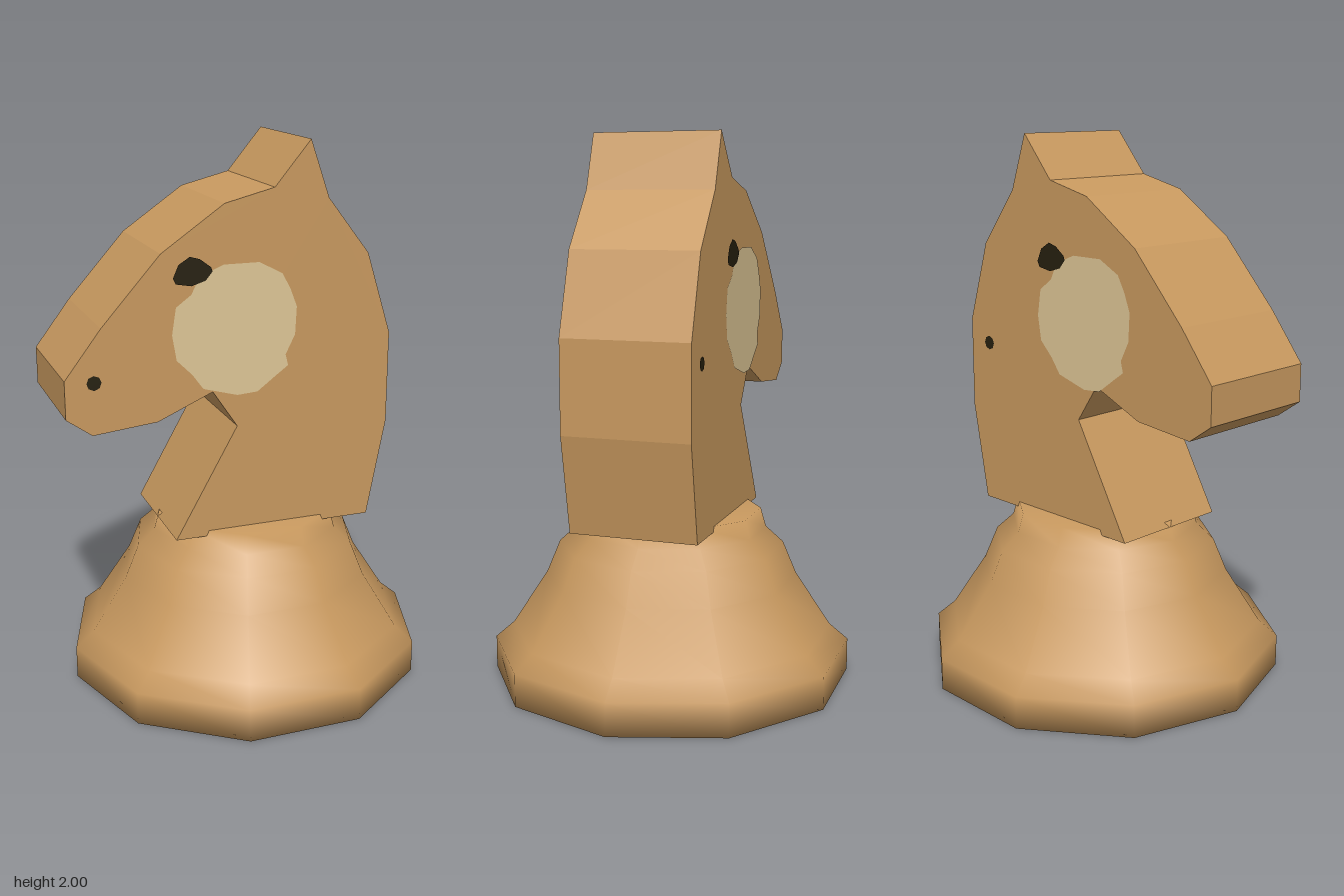
import * as THREE from 'three';

const mat = (name, color) => {
  const m = new THREE.MeshStandardMaterial({ color });
  m.name = name;
  return m;
};
const toPoints = (list) => list.map(([x, y]) => new THREE.Vector2(x, y));

export function createModel() {
  const wood = mat('wood', 0xc8995f);
  const cream = mat('cream', 0xdec696);
  const dark = mat('dark', 0x26200f);
  const model = new THREE.Group();
  model.name = 'horseChessPiece';

  const add = (parent, name, geometry, material) => {
    const mesh = new THREE.Mesh(geometry, material);
    mesh.name = name;
    parent.add(mesh);
    return mesh;
  };

  // Ten-sided turned base with smooth shading
  const profile = toPoints([
    [0, 0], [0.67, 0], [0.67, 0.12], [0.6, 0.18], [0.47, 0.38],
    [0.42, 0.5], [0.355, 0.56], [0.335, 0.63], [0, 0.63],
  ]);
  const base = add(model, 'base', new THREE.LatheGeometry(profile, 10, Math.PI / 2), wood);
  base.position.x = 0.02;

  // Head and neck: one flat silhouette, extruded
  const thickness = 0.472;
  const headShape = new THREE.Shape(toPoints([
    [0.175, 2], [0.045, 1.845], [-0.135, 1.8], [-0.36, 1.645], [-0.57, 1.41],
    [-0.7, 1.24], [-0.7, 1.105], [-0.61, 1.04], [-0.38, 1.063], [-0.18, 1.15],
    [-0.09, 1.015], [-0.32, 0.61], [0.425, 0.61], [0.493, 0.97], [0.493, 1.305],
    [0.4, 1.6], [0.245, 1.8],
  ]));
  const headGeo = new THREE.ExtrudeGeometry(headShape, { depth: thickness, bevelEnabled: false });
  headGeo.translate(0, 0, -thickness / 2);
  add(model, 'headAndNeck', headGeo, wood);

  // Face markings, measured from the cheek's vertical axis
  const cheekX = -0.105;
  const cheekShape = new THREE.Shape(toPoints([
    [-0.22, 1.365], [-0.205, 1.46], [-0.15, 1.5], [-0.12, 1.56], [-0.035, 1.595],
    [0.095, 1.595], [0.18, 1.55], [0.21, 1.495], [0.235, 1.43], [0.23, 1.33],
    [0.195, 1.26], [0.205, 1.22], [0.15, 1.18], [0.09, 1.135], [0.015, 1.13],
    [-0.11, 1.165], [-0.15, 1.22], [-0.205, 1.275],
  ]));
  const eyeShape = new THREE.Shape(toPoints([
    [-0.215, 1.56], [-0.195, 1.605], [-0.155, 1.63], [-0.12, 1.62], [-0.08, 1.59],
    [-0.075, 1.575], [-0.1, 1.545], [-0.15, 1.53], [-0.205, 1.54],
  ]));
  const surface = thickness / 2;

  // The far side repeats the markings by a half turn about the cheek axis
  for (const [name, turn] of [['frontMarkings', 0], ['backMarkings', Math.PI]]) {
    const side = new THREE.Group();
    side.name = name;
    side.position.x = cheekX;
    side.rotation.y = turn;
    add(side, 'cheekPatch', new THREE.ShapeGeometry(cheekShape), cream).position.z = surface + 0.002;
    add(side, 'eye', new THREE.ShapeGeometry(eyeShape), dark).position.z = surface + 0.005;
    add(side, 'nostril', new THREE.CircleGeometry(0.026, 8), dark)
      .position.set(-0.495, 1.225, surface + 0.003);
    model.add(side);
  }

  return model;
}
